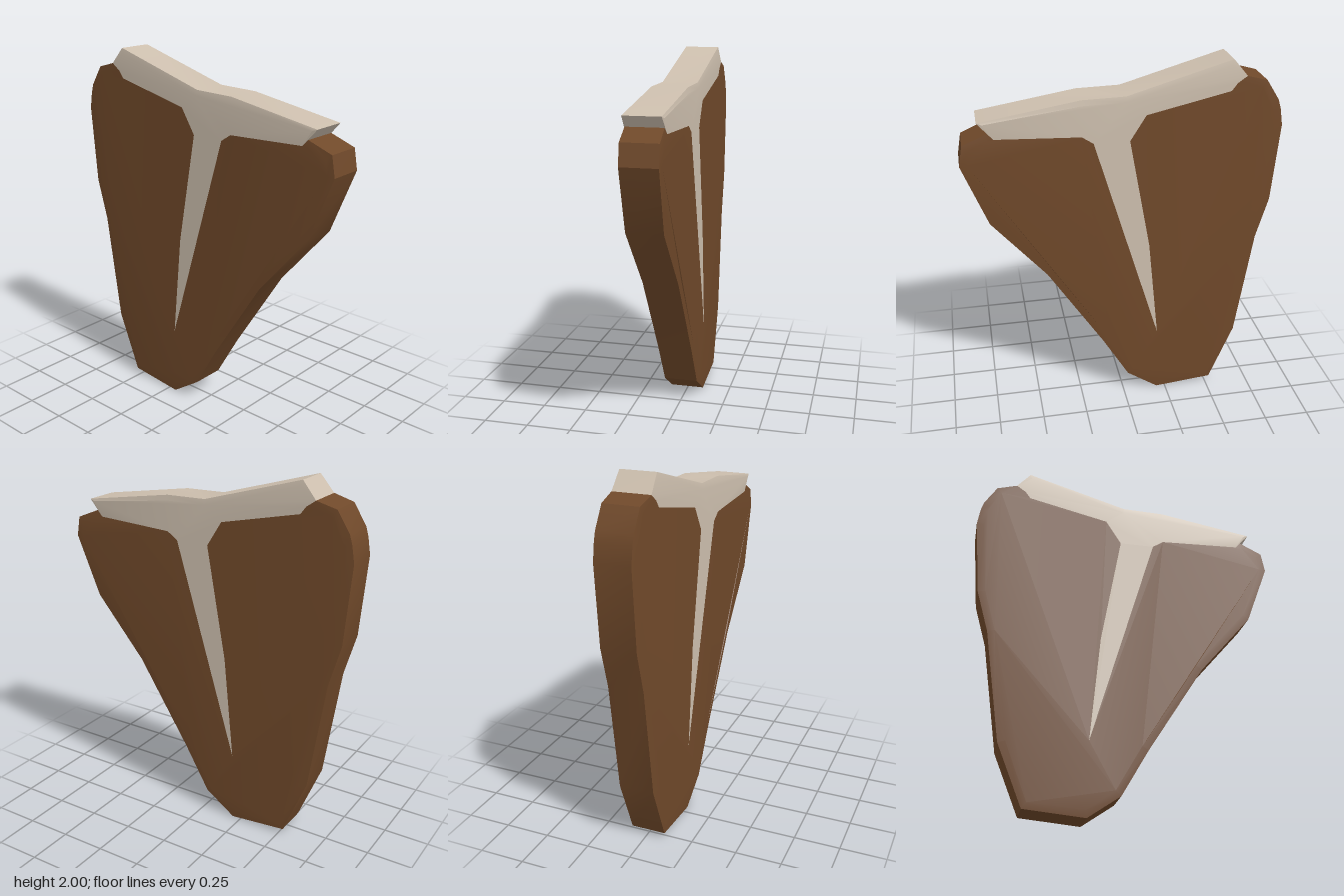
import * as THREE from 'three';
import { toCreasedNormals } from 'three/addons/utils/BufferGeometryUtils.js';

const FRONT = 0.105, BACK = -0.096, DROP = 0.005;

// Bone edge buried in the meat, from right end to left end
const seam = [
  [0.665, 1.66], [0.22, 1.64], [0.16, 1.6], [-0.195, 0.4], [-0.14, 0.98],
  [-0.03, 1.6], [-0.115, 1.735], [-0.56, 1.835], [-0.59, 1.875], [-0.64, 1.91],
];
// Exposed edges, counter-clockwise; third value shifts the point in z
const meatRim = [
  [-0.75, 1.88], [-0.82, 1.77], [-0.835, 1.72], [-0.85, 1.63], [-0.815, 1.2],
  [-0.75, 0.97], [-0.66, 0.36], [-0.525, 0.03], [-0.2, 0], [-0.025, 0.12],
  [0.12, 0.37], [0.425, 0.85], [0.715, 1.19], [0.845, 1.53, -0.012],
  [0.825, 1.64, -0.012], [0.695, 1.693],
];
const boneRim = [[0.745, 1.75], [0.22, 1.835], [-0.01, 1.84], [-0.565, 2]];

// Slab whose exposed rim has a shallow sloping border on both faces
function slab(rim, inner, inset) {
  const pts = [...rim, ...inner];
  const n = pts.length;
  const at = (i) => new THREE.Vector2(pts[(i + n) % n][0], pts[(i + n) % n][1]);
  const outer = pts.map((p, i) => at(i));
  const inward = outer.map((p, i) => {
    if (i >= rim.length) return p.clone();
    const a = p.clone().sub(at(i - 1)).normalize();
    const b = at(i + 1).sub(p).normalize();
    const dir = new THREE.Vector2(-a.y - b.y, a.x + b.x).normalize();
    return p.clone().addScaledVector(dir, inset);
  });
  const ring = (flat, z, drop) => flat.map((p, i) =>
    [p.x, p.y, z + (pts[i][2] || 0) + (i < rim.length ? drop : 0)]);
  const rings = [
    ring(inward, FRONT, 0), ring(outer, FRONT, -DROP),
    ring(outer, BACK, DROP), ring(inward, BACK, 0),
  ];
  const pos = [];
  const tri = (a, b, c) => pos.push(...a, ...b, ...c);
  // Front and back faces
  for (const [a, b, c] of THREE.ShapeUtils.triangulateShape(inward, [])) {
    tri(rings[0][a], rings[0][b], rings[0][c]);
    tri(rings[3][a], rings[3][c], rings[3][b]);
  }
  // Sloping borders and side wall
  for (let r = 0; r < 3; r++) {
    for (let i = 0; i < n; i++) {
      const j = (i + 1) % n;
      const [p, q, s, t] = [rings[r][i], rings[r][j], rings[r + 1][i], rings[r + 1][j]];
      tri(p, s, t);
      tri(p, t, q);
    }
  }
  const geo = new THREE.BufferGeometry();
  geo.setAttribute('position', new THREE.Float32BufferAttribute(pos, 3));
  geo.computeVertexNormals();
  return toCreasedNormals(geo, 0.35);
}

export function createModel() {
  const group = new THREE.Group();
  group.name = 'steak';
  const add = (name, geometry, color) => {
    const mesh = new THREE.Mesh(geometry, new THREE.MeshStandardMaterial({ color }));
    mesh.name = name;
    group.add(mesh);
  };
  // Meat wraps around the stem of the bone
  add('meat', slab(meatRim, seam, 0.04), 0x70492a);
  // T-shaped bone, flush with both faces
  add('bone', slab(boneRim, [...seam].reverse(), 0.03), 0xcdbfae);
  return group;
}
